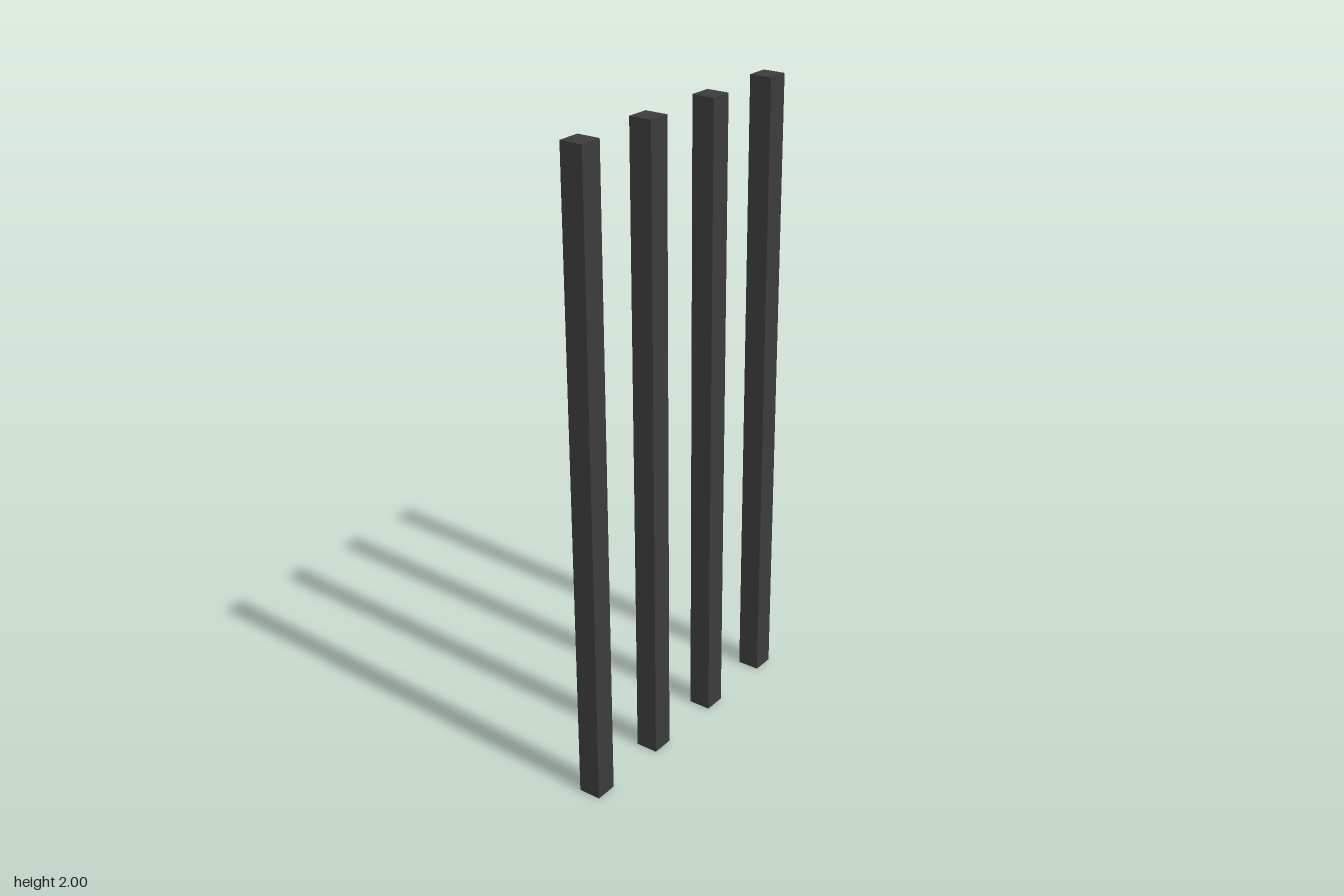
import * as THREE from 'three';

const COUNT = 4;
const HEIGHT = 2;
const THICKNESS = HEIGHT / 28;
const SPACING = HEIGHT / 7;

export function createModel() {
  const model = new THREE.Group();
  model.name = 'posts';

  const material = new THREE.MeshStandardMaterial({ color: 0x3c3c3c });
  const geometry = new THREE.BoxGeometry(THICKNESS, HEIGHT, THICKNESS);

  // Row of evenly spaced square posts
  for (let i = 0; i < COUNT; i++) {
    const post = new THREE.Mesh(geometry, material);
    post.name = `post${i + 1}`;
    post.position.set((i - (COUNT - 1) / 2) * SPACING, HEIGHT / 2, 0);
    model.add(post);
  }

  return model;
}
